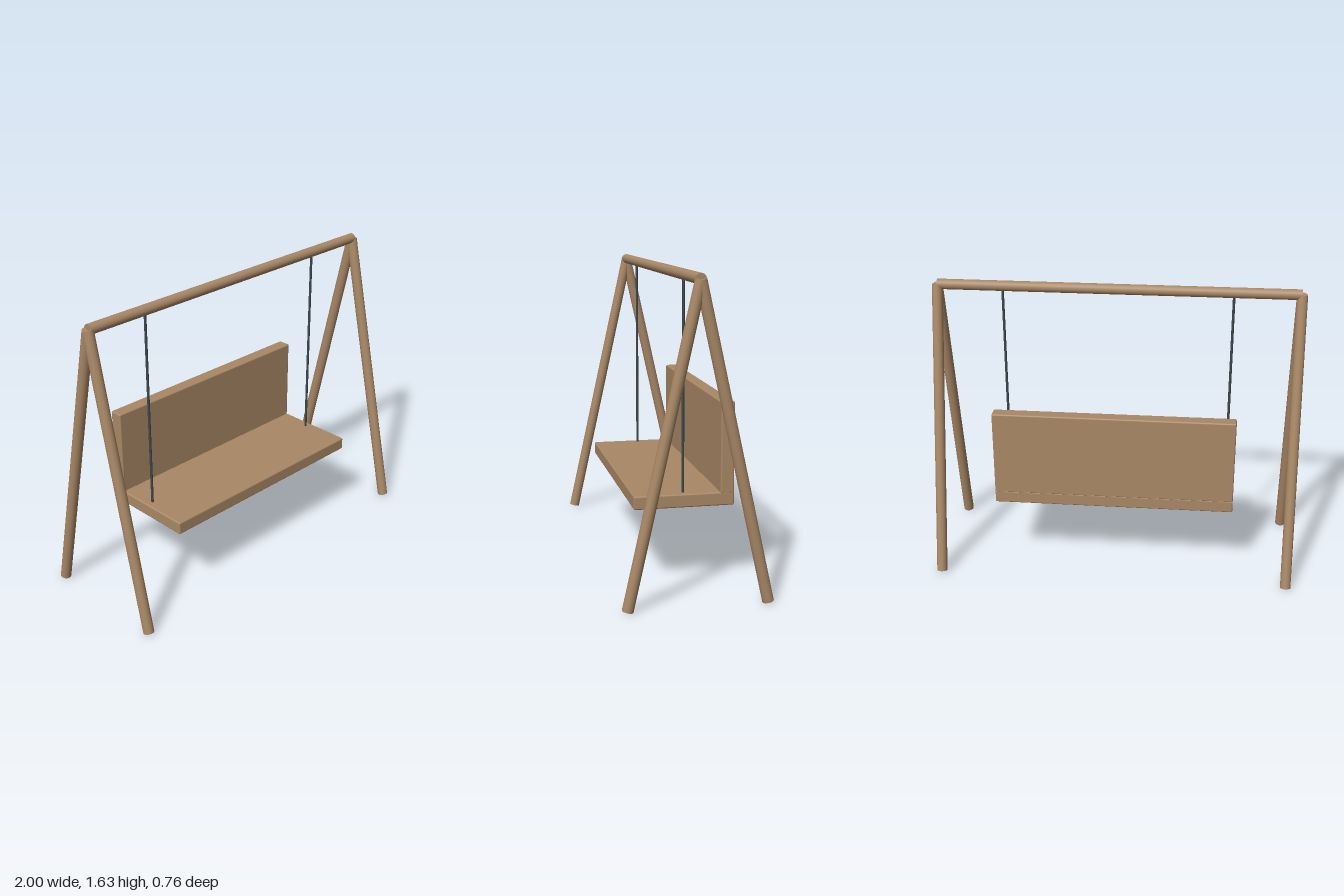
import * as THREE from 'three';
import { RoundedBoxGeometry } from 'three/addons/geometries/RoundedBoxGeometry.js';

const wood = new THREE.MeshStandardMaterial({ name: 'wood', color: 0xa98866 });
const steel = new THREE.MeshStandardMaterial({ name: 'dark steel', color: 0x3e474d });

// Round bar between two points
function bar(name, from, to, radius, material, sides = 24) {
  const a = new THREE.Vector3(...from);
  const b = new THREE.Vector3(...to);
  const dir = b.clone().sub(a);
  const mesh = new THREE.Mesh(new THREE.CylinderGeometry(radius, radius, dir.length(), sides), material);
  mesh.name = name;
  mesh.position.copy(a).add(b).multiplyScalar(0.5);
  mesh.quaternion.setFromUnitVectors(new THREE.Vector3(0, 1, 0), dir.normalize());
  return mesh;
}

// Softly rounded board spanning given y and z ranges
function board(name, width, y0, y1, z0, z1) {
  const mesh = new THREE.Mesh(new RoundedBoxGeometry(width, y1 - y0, z1 - z0, 3, 0.008), wood);
  mesh.name = name;
  mesh.position.set(0, (y0 + y1) / 2, (z0 + z1) / 2);
  return mesh;
}

export function createModel() {
  const model = new THREE.Group();
  model.name = 'porchSwing';

  // Frame: top beam and two A-shaped leg pairs
  const frame = new THREE.Group();
  frame.name = 'frame';
  frame.add(bar('topBeam', [-0.97, 1.597, 0], [0.97, 1.597, 0], 0.028, wood));
  for (const sx of [-1, 1]) {
    for (const sz of [-1, 1]) {
      const name = (sx > 0 ? 'left' : 'right') + (sz > 0 ? 'Front' : 'Back') + 'Leg';
      frame.add(bar(name, [sx * 0.971, 0.006, sz * 0.353], [sx * 0.971, 1.594, 0], 0.029, wood));
    }
  }

  // Hanging bench: seat, backrest and two rods
  const bench = new THREE.Group();
  bench.name = 'bench';
  bench.add(board('seat', 1.318, 0.417, 0.487, -0.262, 0.262));
  bench.add(board('backrest', 1.318, 0.48, 0.957, -0.262, -0.19));
  for (const sx of [-1, 1]) {
    bench.add(bar(sx > 0 ? 'leftRod' : 'rightRod', [sx * 0.617, 0.485, 0], [sx * 0.617, 1.595, 0], 0.007, steel, 12));
  }

  model.add(frame, bench);
  return model;
}
